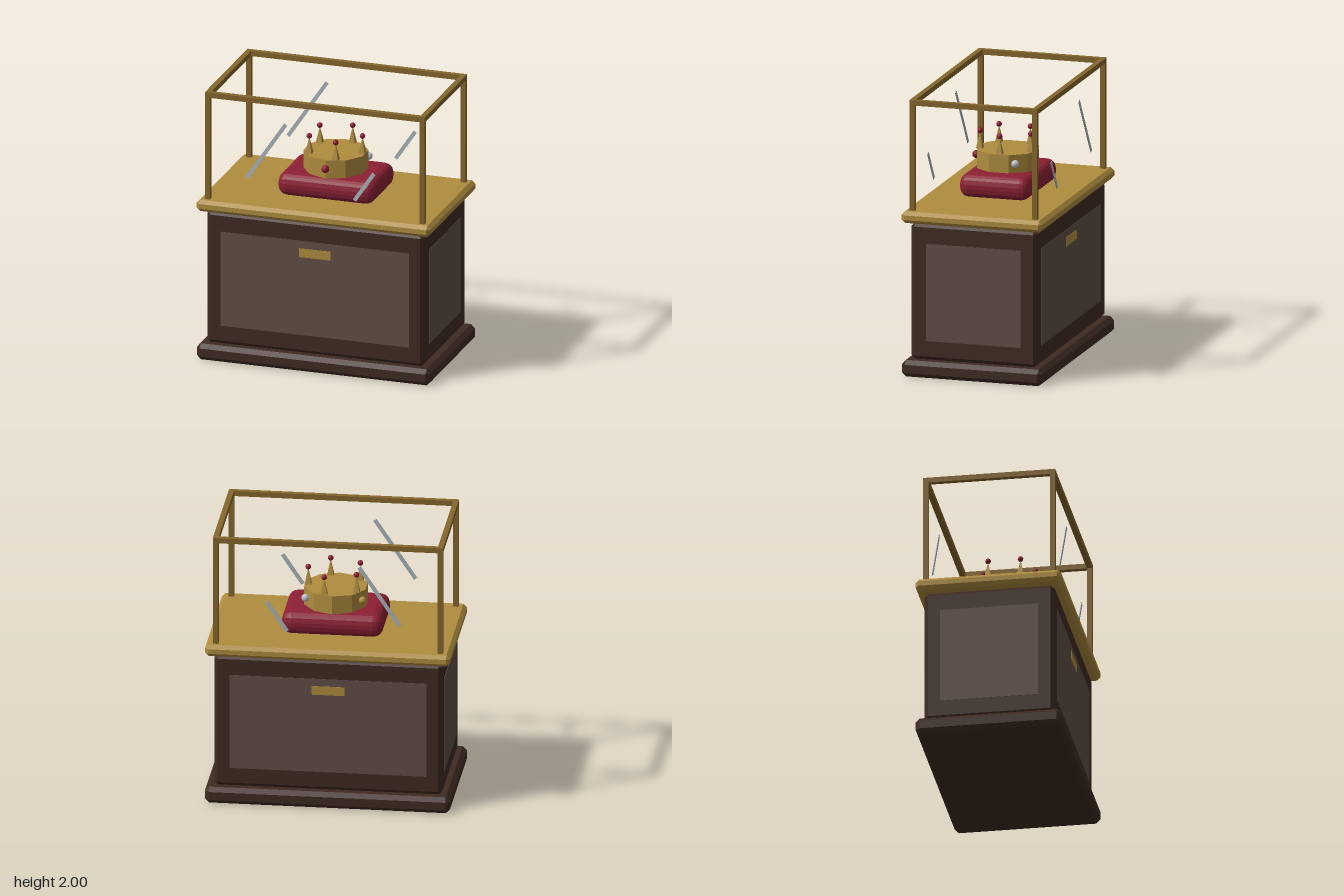
import * as THREE from 'three';
import { RoundedBoxGeometry } from 'three/addons/geometries/RoundedBoxGeometry.js';
import { ConvexGeometry } from 'three/addons/geometries/ConvexGeometry.js';

function material(name, color, flatShading = true) {
  const m = new THREE.MeshStandardMaterial({ color, flatShading });
  m.name = name;
  return m;
}

// Box with every edge cut by a single flat bevel
function chamferBox(w, h, d, c) {
  const pts = [];
  for (const sx of [-1, 1]) for (const sy of [-1, 1]) for (const sz of [-1, 1]) {
    const x = w / 2, y = h / 2, z = d / 2;
    pts.push(
      new THREE.Vector3(sx * x, sy * (y - c), sz * (z - c)),
      new THREE.Vector3(sx * (x - c), sy * y, sz * (z - c)),
      new THREE.Vector3(sx * (x - c), sy * (y - c), sz * z));
  }
  return new ConvexGeometry(pts);
}

export function createModel() {
  const model = new THREE.Group();
  model.name = 'crownDisplayCase';

  const darkWood = material('dark wood', 0x3f2b22);
  const panelWood = material('panel wood', 0x614e46);
  const gold = material('gold', 0xb08d3f);
  const bronze = material('bronze', 0x87672d);
  const velvet = material('red velvet', 0x8c2034);
  const ruby = material('ruby', 0x8a1a32, false);
  const pearl = material('pearl', 0xbcc4ca, false);
  const amber = material('amber', 0xb08d3f, false);
  const glint = material('glass glint', 0xacb9be);

  function add(name, geometry, mat, x = 0, y = 0, z = 0, parent = model) {
    const mesh = new THREE.Mesh(geometry, mat);
    mesh.name = name;
    mesh.position.set(x, y, z);
    parent.add(mesh);
    return mesh;
  }

  // Pedestal: plinth, cabinet and gold table top
  add('plinth', chamferBox(1.74, 0.12, 1.04, 0.03), darkWood, 0, 0.06, 0);
  add('cabinet', chamferBox(1.62, 0.99, 0.93, 0.027), darkWood, 0, 0.615, 0);
  add('tableTop', chamferBox(1.74, 0.085, 1.04, 0.025), gold, 0, 1.1565, 0);

  // Inlaid panels on all four sides, name plates on the long ones
  for (const s of [-1, 1]) {
    add('longPanel', new THREE.BoxGeometry(1.4, 0.705, 0.006), panelWood, 0, 0.6125, s * 0.465);
    add('sidePanel', new THREE.BoxGeometry(0.006, 0.705, 0.7), panelWood, s * 0.81, 0.6125, 0);
    add('namePlate', new THREE.BoxGeometry(0.235, 0.065, 0.008), gold, 0, 0.878, s * 0.468);
  }

  // Frame of the glass case
  const frame = new THREE.Group();
  frame.name = 'caseFrame';
  model.add(frame);
  const t = 0.038, fx = 0.798, fz = 0.453;
  for (const s of [-1, 1]) {
    for (const q of [-1, 1]) {
      add('post', new THREE.BoxGeometry(t, 0.79, t), bronze, s * fx, 1.593, q * fz, frame);
    }
    add('longRail', new THREE.BoxGeometry(2 * fx + t, t, t), bronze, 0, 2 - t / 2, s * fz, frame);
    add('shortRail', new THREE.BoxGeometry(t, t, 2 * fz - t), bronze, s * fx, 2 - t / 2, 0, frame);
  }

  // Slanted glints on the front and back glass
  for (const z of [-0.455, 0.455]) {
    for (const [x, y, length] of [[-0.365, 1.605, 0.52], [0.363, 1.42, 0.26]]) {
      const bar = add('glint', new THREE.BoxGeometry(0.028, length, 0.004), glint, x, y, z);
      bar.rotation.z = -0.59;
    }
  }

  // Cushion
  add('cushion', new RoundedBoxGeometry(0.72, 0.17, 0.52, 2, 0.07), velvet, 0, 1.284, 0);

  // Crown: ten-sided band, five tipped spikes and three set stones
  const crown = new THREE.Group();
  crown.name = 'crown';
  model.add(crown);
  add('band', new THREE.CylinderGeometry(0.23, 0.23, 0.135, 10), gold, 0, 1.4325, 0, crown);
  const spike = new THREE.ConeGeometry(0.033, 0.12, 4).rotateY(Math.PI / 4);
  const tip = new THREE.SphereGeometry(0.02, 12, 8);
  for (let i = 0; i < 5; i++) {
    const a = i * Math.PI * 2 / 5;
    const x = 0.197 * Math.cos(a), z = 0.197 * Math.sin(a);
    add('spike', spike, gold, x, 1.56, z, crown);
    add('spikeTip', tip, ruby, x, 1.627, z, crown);
  }
  const stone = new THREE.SphereGeometry(0.028, 12, 8);
  [ruby, pearl, amber].forEach((mat, i) => {
    const a = i * Math.PI * 2 / 3;
    add('stone', stone, mat, 0.235 * Math.sin(a), 1.437, 0.235 * Math.cos(a), crown);
  });

  return model;
}
